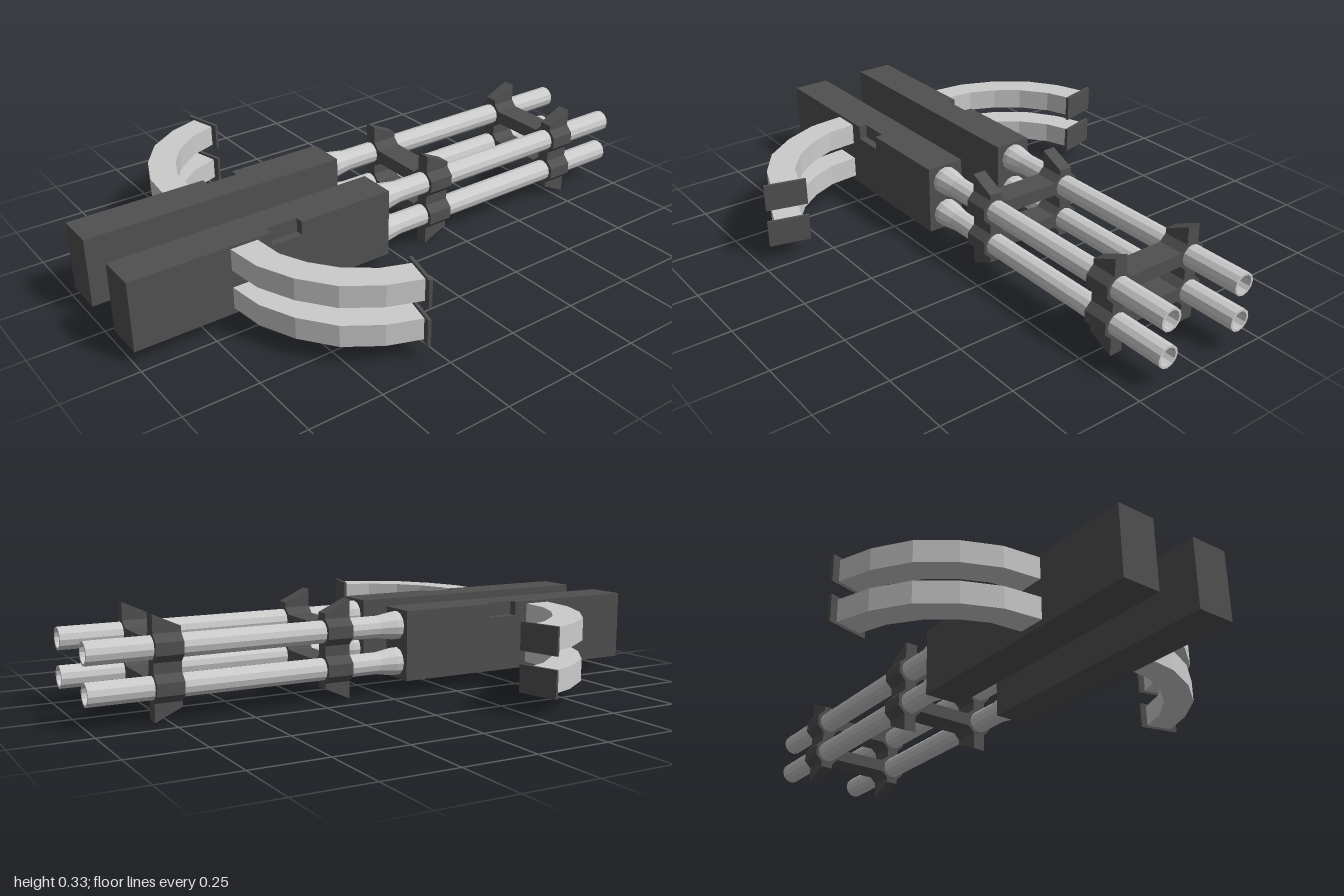
import * as THREE from 'three';

const grey = new THREE.MeshStandardMaterial({ color: 0xcccccc, flatShading: true });
const dark = new THREE.MeshStandardMaterial({ color: 0x505050, flatShading: true });

const BARREL_Z = 0.148;
const BARREL_Y = [0.108, 0.232];

function add(parent, name, geometry, material) {
  const mesh = new THREE.Mesh(geometry, material);
  mesh.name = name;
  parent.add(mesh);
  return mesh;
}

// Box from its lower and upper limits
function box(x0, x1, y0, y1, z0, z1) {
  return new THREE.BoxGeometry(x1 - x0, y1 - y0, z1 - z0)
    .translate((x0 + x1) / 2, (y0 + y1) / 2, (z0 + z1) / 2);
}

// Outline in the x-y plane, extruded from z0 to z1
function slab(points, z0, z1) {
  const shape = new THREE.Shape(points.map(([x, y]) => new THREE.Vector2(x, y)));
  return new THREE.ExtrudeGeometry(shape, { depth: z1 - z0, bevelEnabled: false }).translate(0, 0, z0);
}

// Outline in the x-z plane, extruded from y0 to y1
function plan(points, y0, y1) {
  return slab(points.map(([x, z]) => [x, -z]), y0, y1).rotateX(-Math.PI / 2);
}

// Receiver: inner slab plus outer slab with the ejection notch cut in its top edge
function addReceiver(parent, side) {
  const receiver = new THREE.Group();
  receiver.name = 'receiver';
  const notched = [[-1, 0.05], [-0.07, 0.05], [-0.07, 0.288], [-0.41, 0.288],
    [-0.41, 0.24], [-0.52, 0.24], [-0.52, 0.288], [-1, 0.288]];
  const span = (a, b) => (side > 0 ? [a, b] : [-b, -a]);
  add(receiver, 'receiverInner', box(-1, -0.07, 0.05, 0.288, ...span(0.08, 0.185)), dark);
  add(receiver, 'receiverOuter', slab(notched, ...span(0.185, 0.214)), dark);
  parent.add(receiver);
}

// Barrel: flared base, long tube and a bored muzzle
function addBarrel(parent, y, z) {
  const profile = [[0, -0.09], [0.048, -0.09], [0.048, -0.05], [0.038, 0.01], [0.038, 1],
    [0.03, 1], [0.03, 0.8], [0, 0.8]].map(([r, x]) => new THREE.Vector2(r, x));
  const barrel = add(parent, 'barrel', new THREE.LatheGeometry(profile, 12), grey);
  barrel.rotation.z = -Math.PI / 2;
  barrel.position.set(0, y, z);
}

// Curved feed chute with an end plate
function addFeed(parent, y, side) {
  const outer = [[-0.665, 0.2], [-0.65, 0.34], [-0.6, 0.46], [-0.52, 0.57], [-0.41, 0.645], [-0.295, 0.687]];
  const inner = [[-0.275, 0.595], [-0.37, 0.56], [-0.46, 0.49], [-0.52, 0.41], [-0.56, 0.32], [-0.57, 0.2]];
  const plate = [[-0.307, 0.71], [-0.297, 0.714], [-0.262, 0.576], [-0.272, 0.572]];
  const mirror = (pts) => pts.map(([x, z]) => [x, z * side]);
  const feed = new THREE.Group();
  feed.name = 'feed';
  add(feed, 'feedChute', plan(mirror([...outer, ...inner]), y - 0.037, y + 0.037), grey);
  add(feed, 'feedEndPlate', plan(mirror(plate), y - 0.046, y + 0.046), dark);
  parent.add(feed);
}

// Clamp: finned uprights, collars round the barrels and two cross bars
function addClamp(parent, x, facing) {
  const clamp = new THREE.Group();
  clamp.name = 'barrelClamp';
  const h = 0.045;
  const fin = [[-h, 0.003], [-h * 0.8, 0.008], [h, 0.045], [h, 0.295], [-h * 0.8, 0.332], [-h, 0.337]]
    .map(([px, py]) => [x + px * facing, py]);
  for (const side of [-1, 1]) {
    const z = BARREL_Z * side;
    add(clamp, 'clampFin', slab(fin, z - 0.023, z + 0.023), dark);
    for (const y of BARREL_Y) {
      const collar = add(clamp, 'clampCollar', new THREE.CylinderGeometry(0.052, 0.052, 2 * h, 8), dark);
      collar.geometry.rotateY(Math.PI / 8).rotateZ(Math.PI / 2);
      collar.position.set(x, y, z);
    }
  }
  for (const y of BARREL_Y) {
    add(clamp, 'clampCrossBar', box(x - h, x + h, y - 0.023, y + 0.023, -0.11, 0.11), dark);
  }
  parent.add(clamp);
}

export function createModel() {
  const model = new THREE.Group();
  model.name = 'quadGun';
  for (const side of [-1, 1]) {
    addReceiver(model, side);
    for (const y of BARREL_Y) addBarrel(model, y, BARREL_Z * side);
    for (const y of [0.107, 0.242]) addFeed(model, y, side);
  }
  addClamp(model, 0.17, 1);
  addClamp(model, 0.75, -1);
  return model;
}
